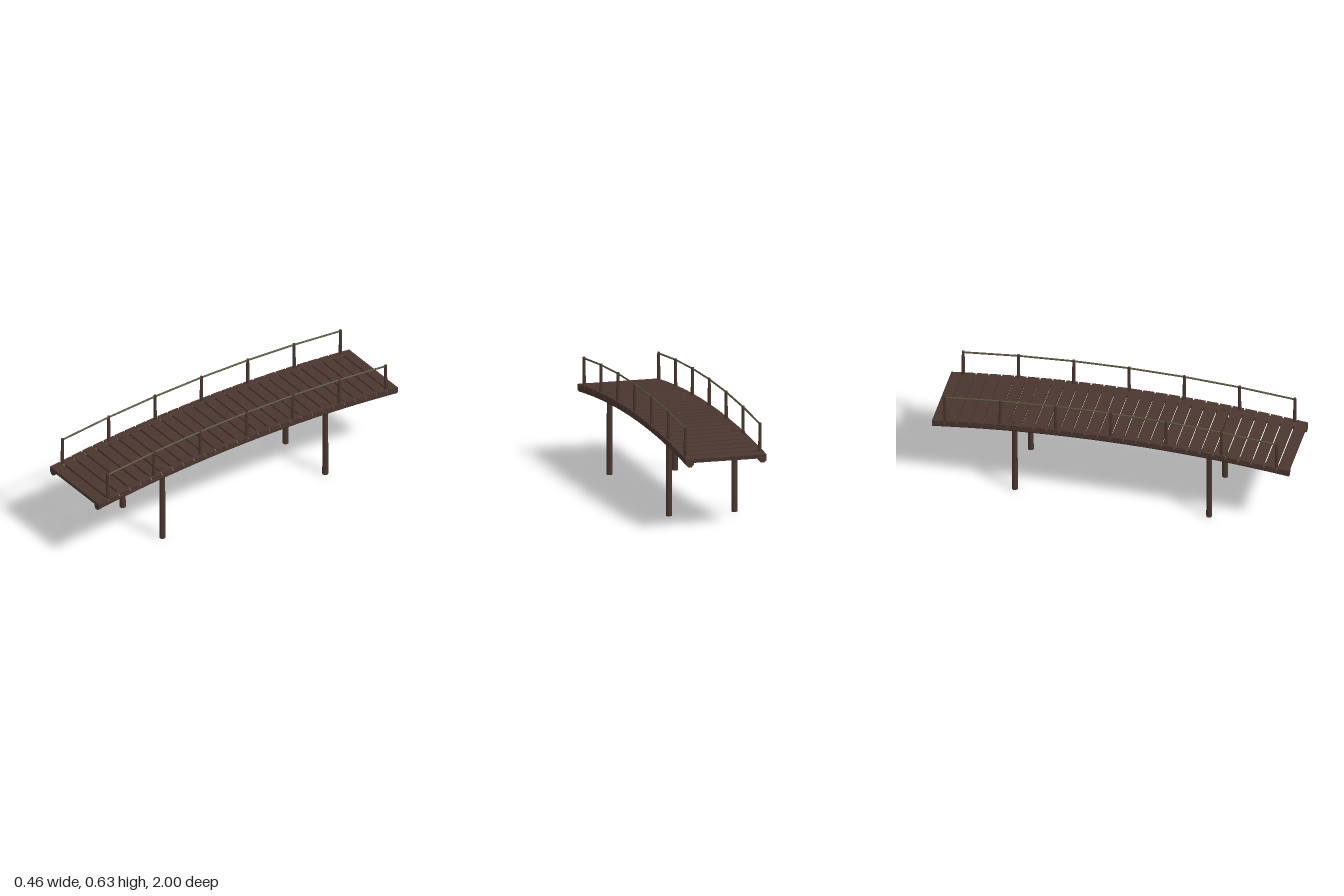
import * as THREE from 'three';

const CAMBER = 0.06;
const drop = (z) => CAMBER * z * z;
const DECK_TOP = 0.472;
const RAIL_TOP = 0.628;

export function createModel() {
  const bridge = new THREE.Group();
  bridge.name = 'footbridge';

  const wood = new THREE.MeshStandardMaterial({ color: 0x4a362f });
  wood.name = 'dark brown wood';
  const rope = new THREE.MeshStandardMaterial({ color: 0x59533d });
  rope.name = 'olive handrail';

  function add(name, geometry, material, x, y, z) {
    const mesh = new THREE.Mesh(geometry, material);
    mesh.name = name;
    mesh.position.set(x, y, z);
    bridge.add(mesh);
    return mesh;
  }

  // Deck planks laid along the arch
  const count = 28, pitch = 0.0717;
  const plankGeo = new THREE.BoxGeometry(0.46, 0.021, 0.0632);
  for (let i = 0; i < count; i++) {
    const z = (i - (count - 1) / 2) * pitch;
    const plank = add('plank', plankGeo, wood, 0, DECK_TOP - 0.0105 - drop(z), z);
    plank.rotation.x = Math.atan(2 * CAMBER * z);
  }

  // Arched eight-sided log beam: an extruded octagon bent along z
  const octagon = new THREE.Shape();
  for (let i = 0; i < 8; i++) {
    const a = ((i + 0.5) * Math.PI) / 4;
    const x = 0.0235 * Math.cos(a), y = 0.0235 * Math.sin(a);
    if (i === 0) octagon.moveTo(x, y);
    else octagon.lineTo(x, y);
  }
  octagon.closePath();
  const beamGeo = new THREE.ExtrudeGeometry(octagon, { depth: 2, steps: 24, bevelEnabled: false });
  beamGeo.translate(0, 0, -1);
  const p = beamGeo.attributes.position;
  for (let i = 0; i < p.count; i++) p.setY(i, p.getY(i) - drop(p.getZ(i)));
  beamGeo.computeVertexNormals();

  const supportGeo = new THREE.CylinderGeometry(0.0152, 0.0168, 0.459, 10);
  const postGeo = new THREE.CylinderGeometry(0.008, 0.0102, 0.165, 8);
  const postZ = [-0.93, -0.62, -0.31, 0, 0.31, 0.62, 0.93];

  for (const side of [-1, 1]) {
    add('beam', beamGeo, wood, side * 0.208, 0.449, 0);

    // Support piles, their tops showing through the deck
    for (const z of [-0.545, 0.545]) add('supportPile', supportGeo, wood, side * 0.187, 0.2295, z);

    // Railing posts
    for (const z of postZ) add('railPost', postGeo, wood, side * 0.213, RAIL_TOP - 0.0825 - drop(z), z);

    // Straight handrail lengths between neighbouring posts
    for (let i = 0; i < postZ.length - 1; i++) {
      const a = new THREE.Vector3(side * 0.213, RAIL_TOP - 0.007 - drop(postZ[i]), postZ[i]);
      const b = new THREE.Vector3(side * 0.213, RAIL_TOP - 0.007 - drop(postZ[i + 1]), postZ[i + 1]);
      const span = b.clone().sub(a);
      const geo = new THREE.CylinderGeometry(0.0055, 0.0055, span.length(), 6);
      const mid = a.add(b).multiplyScalar(0.5);
      const rail = add('handrail', geo, rope, mid.x, mid.y, mid.z);
      rail.quaternion.setFromUnitVectors(new THREE.Vector3(0, 1, 0), span.normalize());
    }
  }
  return bridge;
}
